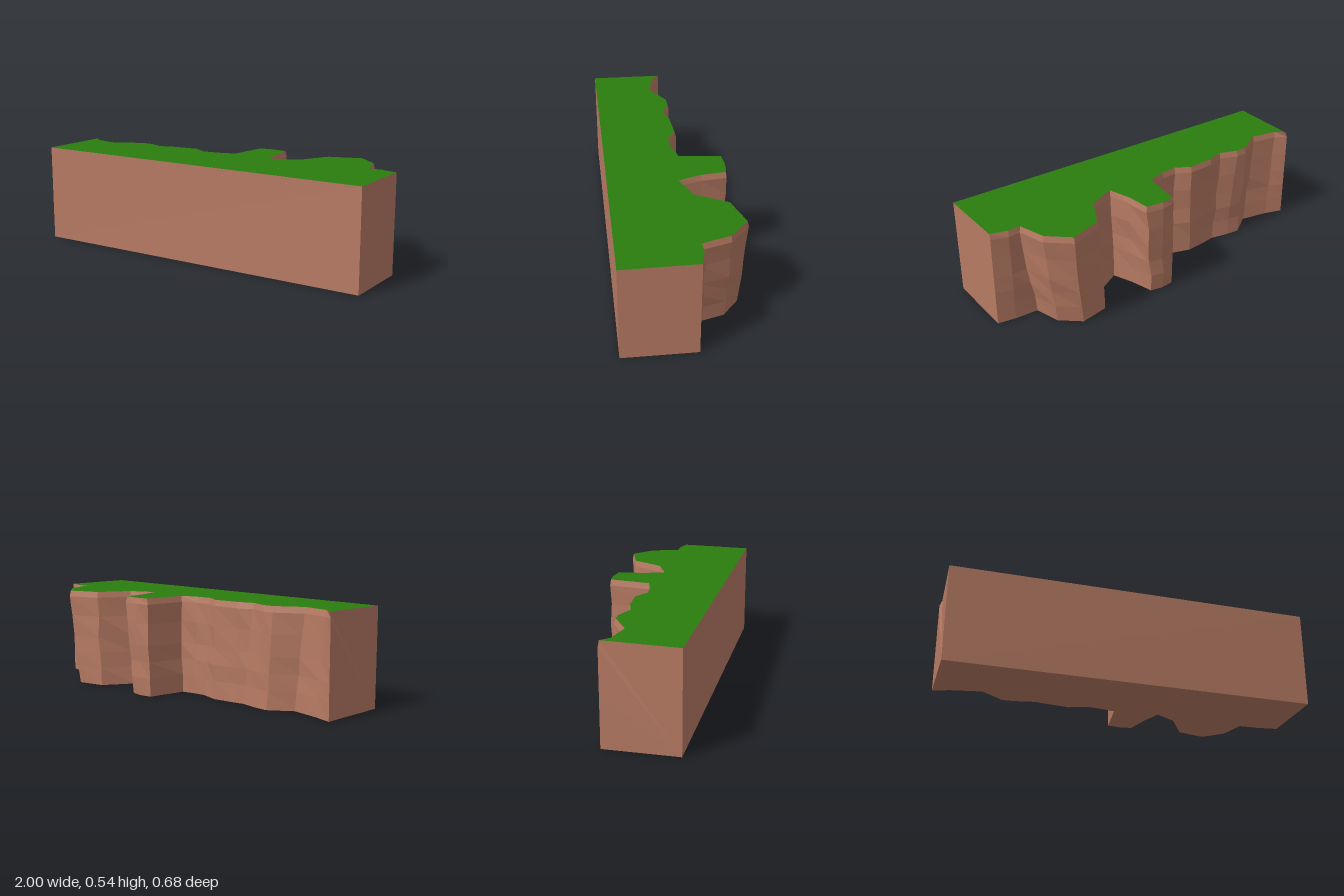
import * as THREE from 'three';

// Cliff-edge columns, left to right: top x, top z, foot x, foot z
const COLUMNS = [
  [-1, -0.06, -1, -0.06],
  [-0.94, -0.015, -0.9, -0.03],
  [-0.79, 0.01, -0.74, 0],
  [-0.65, -0.075, -0.62, -0.086],
  [-0.59, -0.077, -0.54, -0.08],
  [-0.49, -0.04, -0.44, -0.06],
  [-0.4, -0.068, -0.38, -0.07],
  [-0.25, -0.08, -0.25, -0.084],
  [-0.17, -0.032, -0.14, -0.05],
  [-0.08, -0.04, -0.07, -0.055],
  [0.02, -0.07, 0.01, -0.07],
  [0.05, -0.3, 0.04, -0.29],
  [0.12, -0.308, 0.11, -0.3],
  [0.215, -0.298, 0.18, -0.288],
  [0.23, -0.165, 0.215, -0.16],
  [0.27, -0.038, 0.26, -0.046],
  [0.415, -0.1, 0.376, -0.112],
  [0.505, -0.272, 0.475, -0.276],
  [0.68, -0.33, 0.63, -0.308],
  [0.795, -0.23, 0.735, -0.22],
  [0.84, -0.08, 0.775, -0.08],
  [0.91, -0.083, 0.9, -0.075],
  [1, -0.06, 1, -0.06],
];
const HEIGHTS = [0, 0.1, 0.19, 0.28, 0.4, 0.51, 0.543];
const FRONT = 0.338;
const FRONT_TOP = 0.54;

function seeded(seed) {
  let s = seed;
  return () => {
    s = (s * 16807) % 2147483647;
    return s / 2147483647 - 0.5;
  };
}

// Unshared corners keep every facet flat
function facets(name, triangles, material) {
  const geometry = new THREE.BufferGeometry().setFromPoints(triangles.flat());
  geometry.computeVertexNormals();
  const mesh = new THREE.Mesh(geometry, material);
  mesh.name = name;
  return mesh;
}

// Triangulates an outline running counter-clockwise as seen from above
function cap(points, up) {
  const flat = points.map((p) => new THREE.Vector2(p.x, -p.z));
  return THREE.ShapeUtils.triangulateShape(flat, []).map(([a, b, c]) =>
    up ? [points[a], points[b], points[c]] : [points[a], points[c], points[b]]);
}

export function createModel() {
  const rock = new THREE.MeshStandardMaterial({ color: 0xb67a63 });
  rock.name = 'rock';
  const grass = new THREE.MeshStandardMaterial({ color: 0x2b7d0f });
  grass.name = 'grass';

  const V = (x, y, z) => new THREE.Vector3(x, y, z);
  const random = seeded(71);
  const last = COLUMNS.length - 1;
  const top = HEIGHTS.length - 1;

  // Each column swells just below the rim, then runs unevenly to its foot
  const grid = COLUMNS.map(([tx, tz, fx, fz], i) => {
    const end = i === 0 || i === last;
    const before = COLUMNS[Math.max(i - 1, 0)];
    const after = COLUMNS[Math.min(i + 1, last)];
    const dx = after[0] - before[0];
    const dz = after[1] - before[1];
    const length = Math.hypot(dx, dz);
    const out = end ? [0, -0.003] : [dz / length * 0.008, -dx / length * 0.008];
    return HEIGHTS.map((y, j) => {
      if (j === top) return V(i === 0 ? -0.987 : tx, y, tz);
      const t = y / HEIGHTS[top - 1];
      const wobble = end || j === 0 || j === top - 1 ? 0 : 0.012;
      return V(
        THREE.MathUtils.lerp(fx, tx + out[0], t) + random() * wobble,
        y,
        Math.max(-FRONT, THREE.MathUtils.lerp(fz, tz + out[1], t) + random() * wobble)
      );
    });
  });

  // Craggy back face
  const cliff = [];
  for (let i = 0; i < last; i++) {
    for (let j = 0; j < top; j++) {
      const a = grid[i][j], b = grid[i + 1][j];
      const c = grid[i + 1][j + 1], d = grid[i][j + 1];
      cliff.push([a, c, b], [a, d, c]);
    }
  }

  // Smooth cut faces: front, both ends and underside
  const leftFoot = V(-1, 0, FRONT), rightFoot = V(1, 0, FRONT);
  const leftTop = V(-1, FRONT_TOP, FRONT), rightTop = V(1, FRONT_TOP, FRONT);
  const front = [[leftFoot, rightFoot, rightTop], [leftFoot, rightTop, leftTop]];

  const rightEdge = [...grid[last], rightTop];
  const leftEdge = [...grid[0], leftTop];
  const rightEnd = [], leftEnd = [];
  for (let j = 0; j <= top; j++) {
    rightEnd.push([rightFoot, rightEdge[j], rightEdge[j + 1]]);
    leftEnd.push([leftFoot, leftEdge[j + 1], leftEdge[j]]);
  }

  const outline = (j, left, right) => [left, right, ...grid.map((column) => column[j]).reverse()];

  const group = new THREE.Group();
  group.name = 'cliffBlock';
  group.add(
    facets('cliffFace', cliff, rock),
    facets('frontFace', front, rock),
    facets('plusXEnd', rightEnd, rock),
    facets('minusXEnd', leftEnd, rock),
    facets('underside', cap(outline(0, leftFoot, rightFoot), false), rock),
    facets('grassTop', cap(outline(top, leftTop, rightTop), true), grass)
  );
  return group;
}
